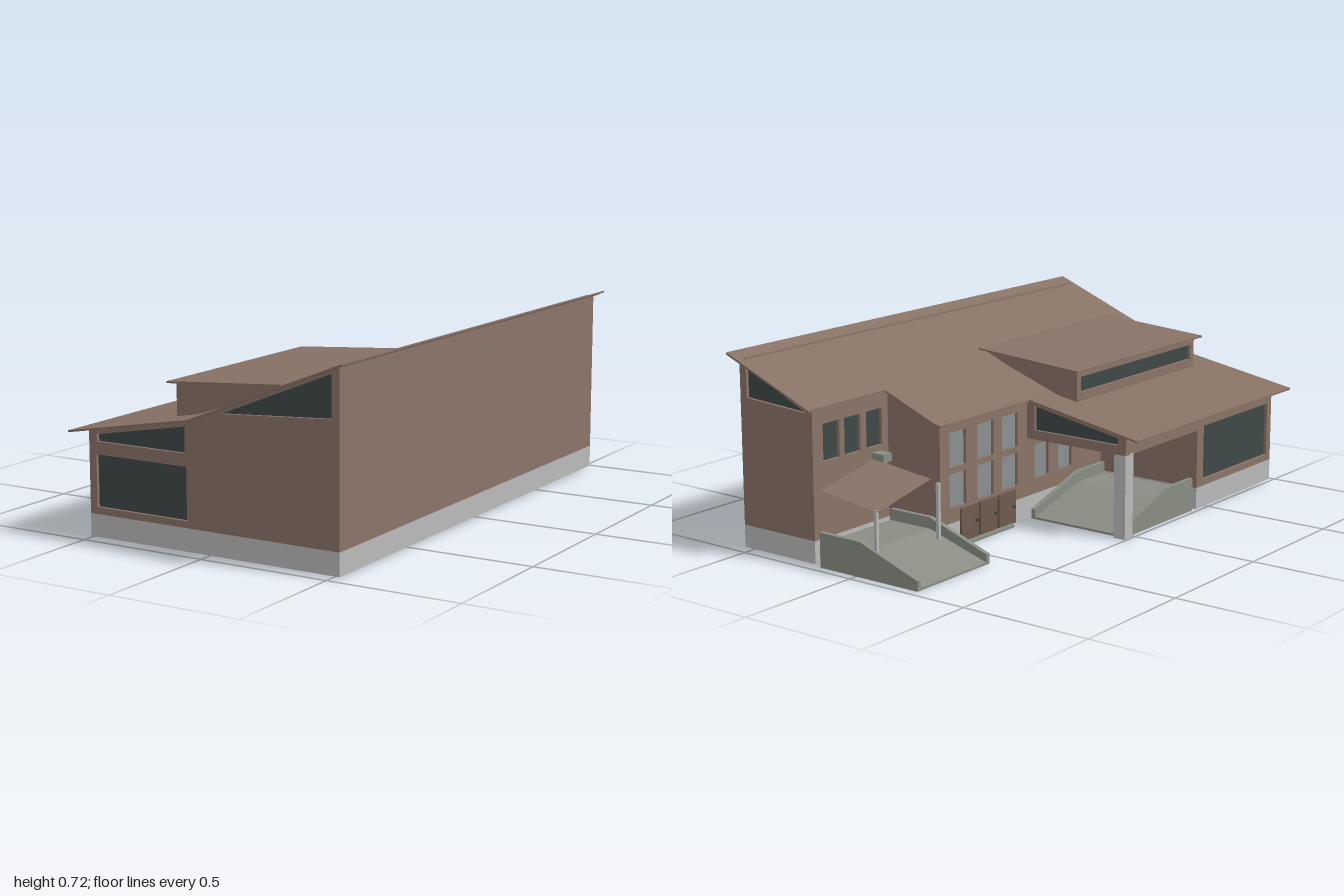
import * as THREE from 'three';

const mat = (name, color, side = THREE.FrontSide) => {
  const m = new THREE.MeshStandardMaterial({ color, side });
  m.name = name;
  return m;
};

export function createModel() {
  const house = new THREE.Group();
  house.name = 'house';
  const brown = mat('wall brown', 0x8a7468);
  const roofBrown = mat('roof brown', 0x877165, THREE.DoubleSide);
  const plinthGrey = mat('plinth grey', 0xbababa);
  const darkGlass = mat('dark glass', 0x3f4848, THREE.DoubleSide);
  const paleGlass = mat('pale glass', 0x8c9090, THREE.DoubleSide);
  const stone = mat('ramp stone', 0x898d83);
  const doorBrown = mat('door brown', 0x6f5a4e);

  const add = (name, geo, material, parent = house) => {
    const m = new THREE.Mesh(geo, material);
    m.name = name;
    parent.add(m);
    return m;
  };
  const shapeOf = pts => new THREE.Shape(pts.map(p => new THREE.Vector2(p[0], p[1])));
  const extrude = (pts, z0, z1) =>
    new THREE.ExtrudeGeometry(shapeOf(pts), { depth: z1 - z0, bevelEnabled: false }).translate(0, 0, z0);
  const rect = (x0, x1, y0, y1) => [[x0, y0], [x1, y0], [x1, y1], [x0, y1]];
  const box = (name, x0, x1, y0, y1, z0, z1, m) =>
    add(name, extrude(rect(x0, x1, y0, y1), z0, z1), m);

  // Height of the main roof across x
  const roofY = x => x < -0.05 ? 0.475 + (x + 0.05) * 0.176 : 0.475 + (x + 0.05) * 0.402;
  const under = x => [x, roofY(x) - 0.006];

  // Wall panel with window openings and recessed panes
  function wall(name, pts, windows, x, z, angle, glass = darkGlass) {
    const g = new THREE.Group();
    g.name = name;
    const s = shapeOf(pts);
    windows.forEach(w => s.holes.push(new THREE.Path(w.map(p => new THREE.Vector2(p[0], p[1])))));
    add('wallPanel', new THREE.ExtrudeGeometry(s, { depth: 0.03, bevelEnabled: false }).translate(0, 0, -0.03), brown, g);
    windows.forEach(w => add('windowPane', new THREE.ShapeGeometry(shapeOf(w)).translate(0, 0, -0.012), glass, g));
    g.position.set(x, 0, z);
    g.rotation.y = angle;
    house.add(g);
  }
  const flip = pts => pts.map(([x, y]) => [-x, y]).reverse();
  const Q = Math.PI / 2, P = 0.09;

  // Plinth with the floor's underside
  const foot = [[-0.495, 0.965], [0.53, 0.965], [0.53, -0.965], [0.19, -0.965],
    [0.19, -0.57], [-0.05, -0.57], [-0.05, 0.42], [-0.495, 0.42]].map(([x, z]) => [x, -z]);
  add('plinth', extrude(foot, 0.007, P).rotateX(-Q), [brown, plinthGrey]);

  // Gable walls
  const clerestory = [[-0.46, 0.35], [-0.085, 0.35], [-0.085, 0.443], [-0.46, 0.376]];
  wall('frontWall', [[-0.495, P], [0.53, P], under(0.53), under(-0.05), under(-0.495)], [
    rect(-0.467, -0.08, 0.115, 0.304), clerestory,
    [[0.065, 0.502], [0.51, 0.53], [0.51, 0.682]]], 0, 0.965, 0);
  wall('backWall', flip([[0.19, P], [0.53, P], under(0.53), under(0.19)]),
    [flip([[0.215, 0.543], [0.51, 0.56], [0.51, 0.677]])], 0, -0.965, Math.PI);
  wall('backStepWall', flip([[-0.05, P], [0.19, P], under(0.19), under(-0.05)]), [], 0, -0.57, Math.PI);
  wall('porchEndWall', flip([[-0.495, P], [-0.05, P], under(-0.05), under(-0.495)]), [], 0, 0.42, Math.PI);
  wall('porchGable', flip([[-0.495, 0.315], [-0.05, 0.315], under(-0.05), under(-0.495)]),
    [flip(clerestory)], 0, -0.06, Math.PI);

  // Long walls
  wall('rightLongWall', rect(-0.965, 0.965, P, roofY(0.53) - 0.006), [], 0.53, 0, Q);
  wall('sideWall', rect(0.42, 0.965, P, roofY(-0.495) - 0.006), [rect(0.465, 0.935, 0.115, 0.325)], -0.495, 0, -Q);
  wall('backSideWall', rect(-0.965, -0.57, P, roofY(0.19) - 0.006),
    [-0.87, -0.76, -0.645].map(z => rect(z - 0.042, z + 0.042, 0.365, 0.5)), 0.19, 0, -Q);
  const panes = [];
  for (const z of [-0.47, -0.31, -0.165])
    panes.push(rect(z - 0.047, z + 0.047, 0.295, 0.425), rect(z - 0.047, z + 0.047, 0.145, 0.272));
  for (const z of [0.03, 0.18]) panes.push(rect(z - 0.045, z + 0.045, 0.15, 0.28));
  wall('innerSideWall', rect(-0.57, 0.42, P, roofY(-0.05) - 0.006), panes, -0.05, 0, -Q, paleGlass);

  // Doors and step
  for (const z of [-0.41, -0.3, -0.19]) {
    box('door', -0.058, -0.05, 0.008, 0.135, z - 0.05, z + 0.05, doorBrown);
    box('doorHandle', -0.068, -0.058, 0.07, 0.078, z + 0.03, z + 0.038, darkGlass);
  }
  box('doorStep', -0.075, -0.045, 0, 0.01, -0.48, -0.17, stone);

  // Main roof in three stepped spans
  for (const [x0, z0, z1] of [[-0.56, -0.085, 1], [-0.08, -0.6, -0.085], [0.175, -1, -0.6]]) {
    const xs = x0 < -0.05 ? [x0, -0.05, 0.56] : [x0, 0.56];
    const top = xs.map(x => [x, roofY(x)]);
    const low = xs.map(x => [x, roofY(x) - 0.007]).reverse();
    add('mainRoof', extrude([...low.reverse(), ...top.reverse()], z0, z1), roofBrown);
  }

  // Dormer with window strip
  add('dormerBody', extrude([[-0.178, 0.44], [0.24, 0.585], [0.24, 0.6], [-0.178, 0.57]], 0.06, 0.86), brown);
  wall('dormerFace', rect(0.06, 0.86, 0.44, 0.57), [rect(0.085, 0.835, 0.483, 0.542)], -0.192, 0, -Q);
  add('dormerRoof', extrude([[-0.215, 0.567], [0.25, 0.6], [0.25, 0.606], [-0.215, 0.574]], 0.03, 0.885), roofBrown);

  // Corner porch column and beam
  box('porchColumn', -0.495, -0.445, 0, 0.32, -0.06, -0.01, plinthGrey);
  box('porchBeam', -0.495, -0.465, 0.315, roofY(-0.495) - 0.006, -0.06, 0.42, brown);

  // Ramp falling towards -x, with a low parapet on both sides
  function ramp(name, x0, bend, x1, z0, z1) {
    const g = new THREE.Group();
    g.name = name;
    const profile = h => [[x0, 0], [x1, 0], [x1, 0.085 + h], [bend, 0.085 + h], [x0, 0.008 + h * 0.7]];
    add('rampFloor', extrude(profile(0), z0, z1), stone, g);
    add('parapet', extrude(profile(0.042), z0, z0 + 0.018), stone, g);
    add('parapet', extrude(profile(0.042), z1 - 0.018, z1), stone, g);
    house.add(g);
    return g;
  }
  ramp('backRamp', -0.275, -0.02, 0.165, -0.967, -0.575);
  ramp('porchRamp', -0.04, 0.24, 0.415, 0.055, 0.48).rotation.y = -Q;

  // Folded canopy over the back ramp
  const canopy = new THREE.PlaneGeometry(1, 1, 1, 2);
  const rows = [[-0.96, 0.244, 0.277], [-0.68, 0.3, 0.328], [-0.6, 0.265, 0.295]];
  rows.forEach(([z, yl, yr], i) => {
    canopy.attributes.position.setXYZ(i * 2, -0.1, yl, z);
    canopy.attributes.position.setXYZ(i * 2 + 1, 0.165, yr, z);
  });
  const folded = canopy.toNonIndexed();
  folded.computeVertexNormals();
  add('canopyRoof', folded, roofBrown);
  for (const z of [-0.95, -0.62])
    box('canopyPost', -0.088, -0.076, 0.05, z < -0.9 ? 0.248 : 0.27, z - 0.006, z + 0.006, plinthGrey);

  // Wall lamp
  box('wallLamp', 0.135, 0.19, 0.315, 0.345, -0.66, -0.615, stone);

  return house;
}
